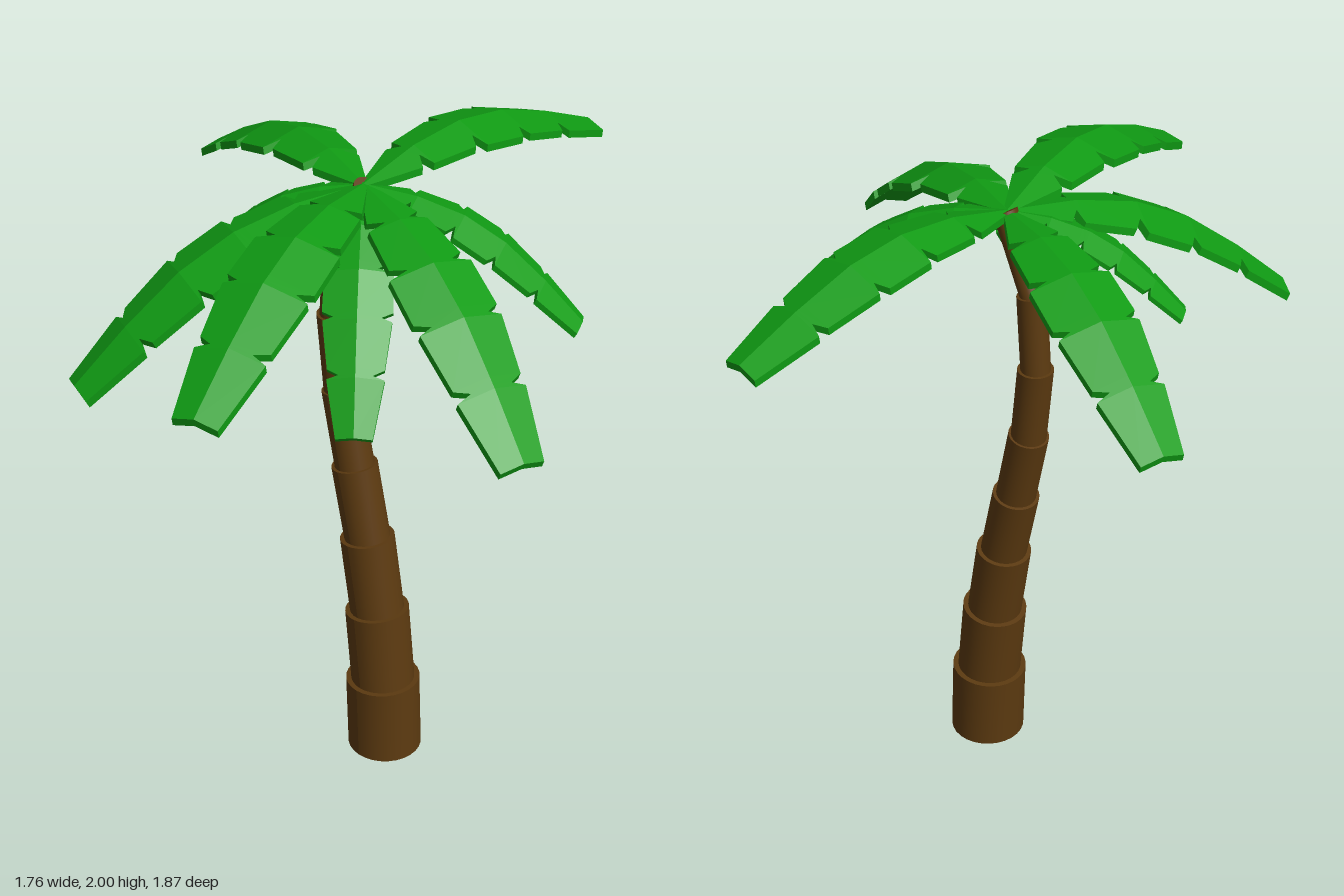
import * as THREE from 'three';

const bark = new THREE.MeshStandardMaterial({ color: 0x5c3a10 });
bark.name = 'bark brown';
const leaf = new THREE.MeshStandardMaterial({ color: 0x109c14 });
leaf.name = 'leaf green';

const Z = -0.01; // the trunk bends in this plane

// Trunk joints: x, y, tilt about z
const joints = [
  [0.105, 0, 0], [0.095, 0.247, 0.05], [0.068, 0.495, 0.14], [0.025, 0.74, 0.15],
  [-0.03, 0.975, 0.2], [-0.085, 1.217, 0.2], [-0.113, 1.46, 0], [-0.095, 1.7, -0.15],
  [0.017, 1.922, -0.5],
];
const radii = [0.114, 0.098, 0.083, 0.07, 0.06, 0.053, 0.044, 0.036];

// One trunk section: a cylinder whose two rims are laid onto tilted joints
function trunkSection(lower, upper, radius) {
  const geo = new THREE.CylinderGeometry(radius, radius, 1, 28);
  const pos = geo.attributes.position;
  for (let i = 0; i < pos.count; i++) {
    const [x, y, tilt] = pos.getY(i) > 0 ? upper : lower;
    const px = pos.getX(i);
    pos.setXYZ(i, x + px * Math.cos(tilt), y + px * Math.sin(tilt), pos.getZ(i) + Z);
  }
  geo.computeVertexNormals();
  return new THREE.Mesh(geo, bark);
}

// Arch of a frond above its chord, for unit length
const arch = [[0, 0], [0.2, 0.08], [0.39, 0.12], [0.58, 0.115], [0.79, 0.066], [1, 0]];
function archHeight(s) {
  let k = 1;
  while (k < arch.length - 1 && s > arch[k][0]) k++;
  const [s0, h0] = arch[k - 1], [s1, h1] = arch[k];
  return h0 + (h1 - h0) * (s - s0) / (s1 - s0);
}

// Leaflet blocks along a frond: start, end, half width at start and end
const blocks = [
  [0, 0.2, 0.012, 0.08], [0.2, 0.39, 0.092, 0.112], [0.39, 0.58, 0.127, 0.13],
  [0.58, 0.79, 0.127, 0.105], [0.79, 1, 0.106, 0.068],
];
const stations = [];
blocks.forEach(([s0, s1, w0, w1], i) => {
  stations.push([s0, w0]);
  if (i < blocks.length - 1) stations.push([s1 - 0.035, w1], [s1 - 0.012, w1 - 0.042]); // notch
  else stations.push([s1, w1]);
});

// Frond: a roof-shaped strip with notched edges, arched from root to tip
function frond(root, tip) {
  const along = tip.clone().sub(root);
  const len = along.length();
  along.normalize();
  const side = new THREE.Vector3(0, 1, 0).cross(along).normalize();
  const up = along.clone().cross(side);
  const slope = 0.28, thick = 0.024 * len;
  const verts = [], index = [];
  for (const [s, w] of stations) {
    const h = archHeight(s) * len, half = w * len;
    const ring = [
      [half, -slope * half], [0, 0], [-half, -slope * half],
      [-half, -slope * half - thick], [0, -thick], [half, -slope * half - thick],
    ];
    for (const [a, b] of ring) {
      const p = root.clone().addScaledVector(along, s * len)
        .addScaledVector(side, a).addScaledVector(up, h + b);
      verts.push(p.x, p.y, p.z);
    }
  }
  for (let k = 0; k < stations.length - 1; k++) {
    for (let i = 0; i < 6; i++) {
      const a = k * 6 + i, b = k * 6 + (i + 1) % 6;
      index.push(a, b, b + 6, a, b + 6, a + 6);
    }
  }
  // End caps
  const e = (stations.length - 1) * 6;
  for (const [a, b, c] of [[0, 1, 4], [0, 4, 5], [1, 2, 3], [1, 3, 4]]) {
    index.push(e + a, e + b, e + c, c, b, a);
  }
  const indexed = new THREE.BufferGeometry();
  indexed.setAttribute('position', new THREE.Float32BufferAttribute(verts, 3));
  indexed.setIndex(index);
  const geo = indexed.toNonIndexed();
  geo.computeVertexNormals();
  return new THREE.Mesh(geo, leaf);
}

// Frond tips: x, y, z
const tips = [
  [0.02, 1.815, -0.94], [-0.87, 1.667, -0.245], [0.55, 1.575, -0.343], [0.87, 1.517, 0.24],
  [0.41, 1.465, 0.42], [0.33, 1.71, 0.915], [-0.28, 1.5, 0.825], [-0.38, 1.645, 0.318],
];

export function createModel() {
  const model = new THREE.Group();
  model.name = 'palmTree';

  const trunk = new THREE.Group();
  trunk.name = 'trunk';
  radii.forEach((r, i) => {
    const section = trunkSection(joints[i], joints[i + 1], r);
    section.name = `trunkSection${i + 1}`;
    trunk.add(section);
  });

  const crown = new THREE.Group();
  crown.name = 'crown';
  const root = new THREE.Vector3(0.008, 1.93, Z);
  tips.forEach((t, i) => {
    const f = frond(root, new THREE.Vector3(...t));
    f.name = `frond${i + 1}`;
    crown.add(f);
  });

  model.add(trunk, crown);
  return model;
}
